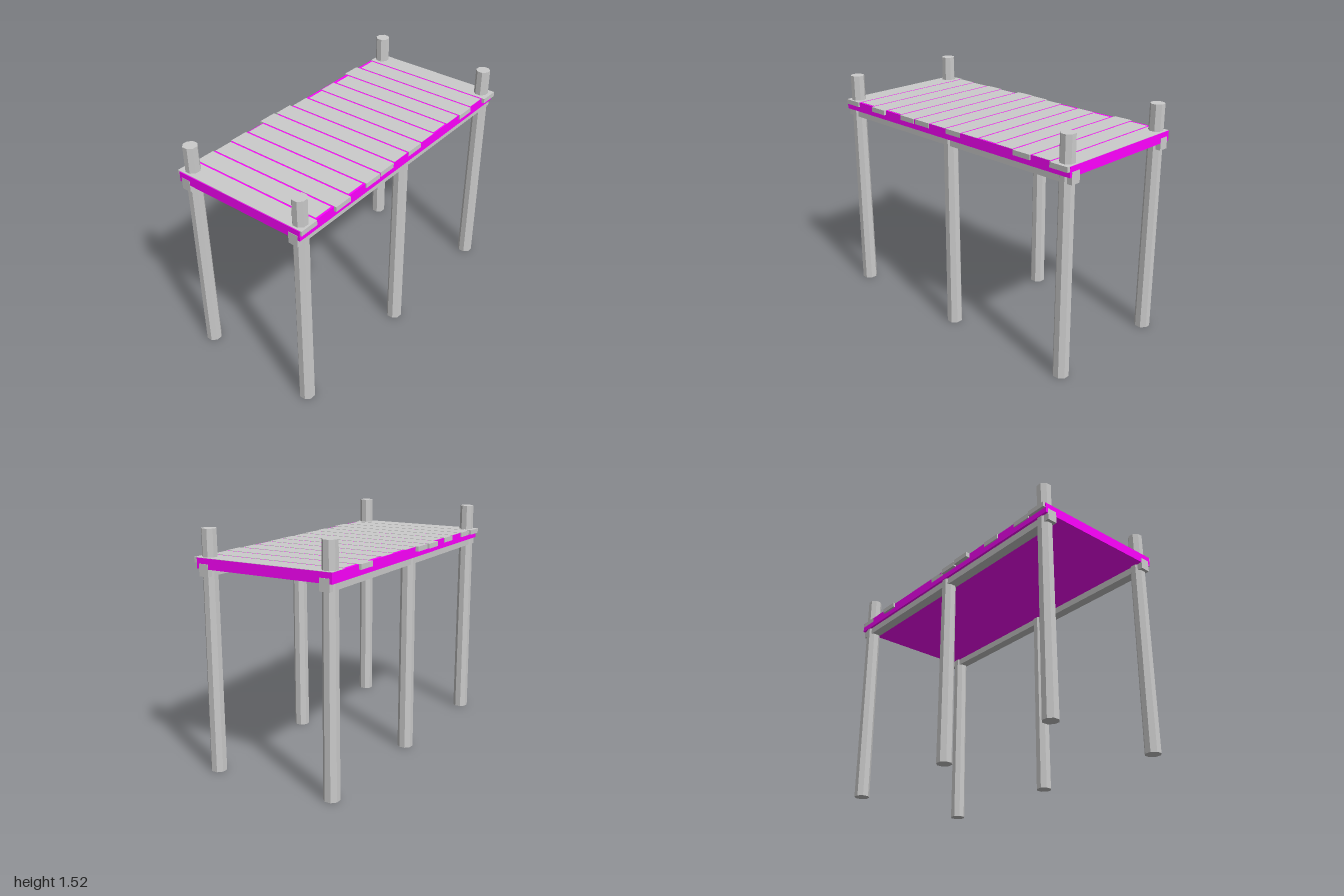
import * as THREE from 'three';

const wood = new THREE.MeshStandardMaterial({ color: 0xcccccc, flatShading: true });
const deckPaint = new THREE.MeshStandardMaterial({ color: 0xff00ff, flatShading: true });

export function createModel() {
  const model = new THREE.Group();

  const add = (name, geometry, material, x, y, z) => {
    const mesh = new THREE.Mesh(geometry, material);
    mesh.name = name;
    mesh.position.set(x, y, z);
    model.add(mesh);
    return mesh;
  };

  // Box given by its lower and upper corners
  const addBox = (name, material, [x0, y0, z0], [x1, y1, z1]) =>
    add(name, new THREE.BoxGeometry(x1 - x0, y1 - y0, z1 - z0), material,
      (x0 + x1) / 2, (y0 + y1) / 2, (z0 + z1) / 2);

  // Slightly tapered octagonal post with flats facing the axes
  const addPost = (name, x, z, height) => {
    const toCorner = 1 / Math.cos(Math.PI / 8);
    const geometry = new THREE.CylinderGeometry(0.043 * toCorner, 0.047 * toCorner, height, 8);
    geometry.rotateY(Math.PI / 8);
    add(name, geometry, wood, x, height / 2, z);
  };

  // Deck slab under the planks
  addBox('deck', deckPaint, [-0.465, 1.285, -0.998], [0.465, 1.35, 0.998]);

  // Posts and the long beam along each side
  for (const [side, s] of [['left', 1], ['right', -1]]) {
    addPost(`${side}FrontPost`, s * 0.416, 0.935, 1.52);
    addPost(`${side}MiddlePost`, s * 0.416, 0, 1.285);
    addPost(`${side}BackPost`, s * 0.416, -0.937, 1.52);
    const x = s * 0.416;
    addBox(`${side}Beam`, wood, [x - 0.033, 1.24, -1], [x + 0.033, 1.316, 1]);
  }

  // Planks from back to front, each with its own uneven [right, left] ends
  const plankEnds = [
    [-0.465, 0.485], [-0.447, 0.463], [-0.48, 0.474], [-0.442, 0.463],
    [-0.458, 0.455], [-0.447, 0.463], [-0.465, 0.467], [-0.484, 0.463],
    [-0.493, 0.467], [-0.458, 0.471], [-0.472, 0.452], [-0.463, 0.48],
    [-0.472, 0.452], [-0.483, 0.474],
  ];
  plankEnds.forEach(([x0, x1], i) => {
    const z = -0.932 + i * 0.1431;
    addBox(`plank${i + 1}`, wood, [x0, 1.32, z - 0.065], [x1, 1.352, z + 0.065]);
  });

  return model;
}
